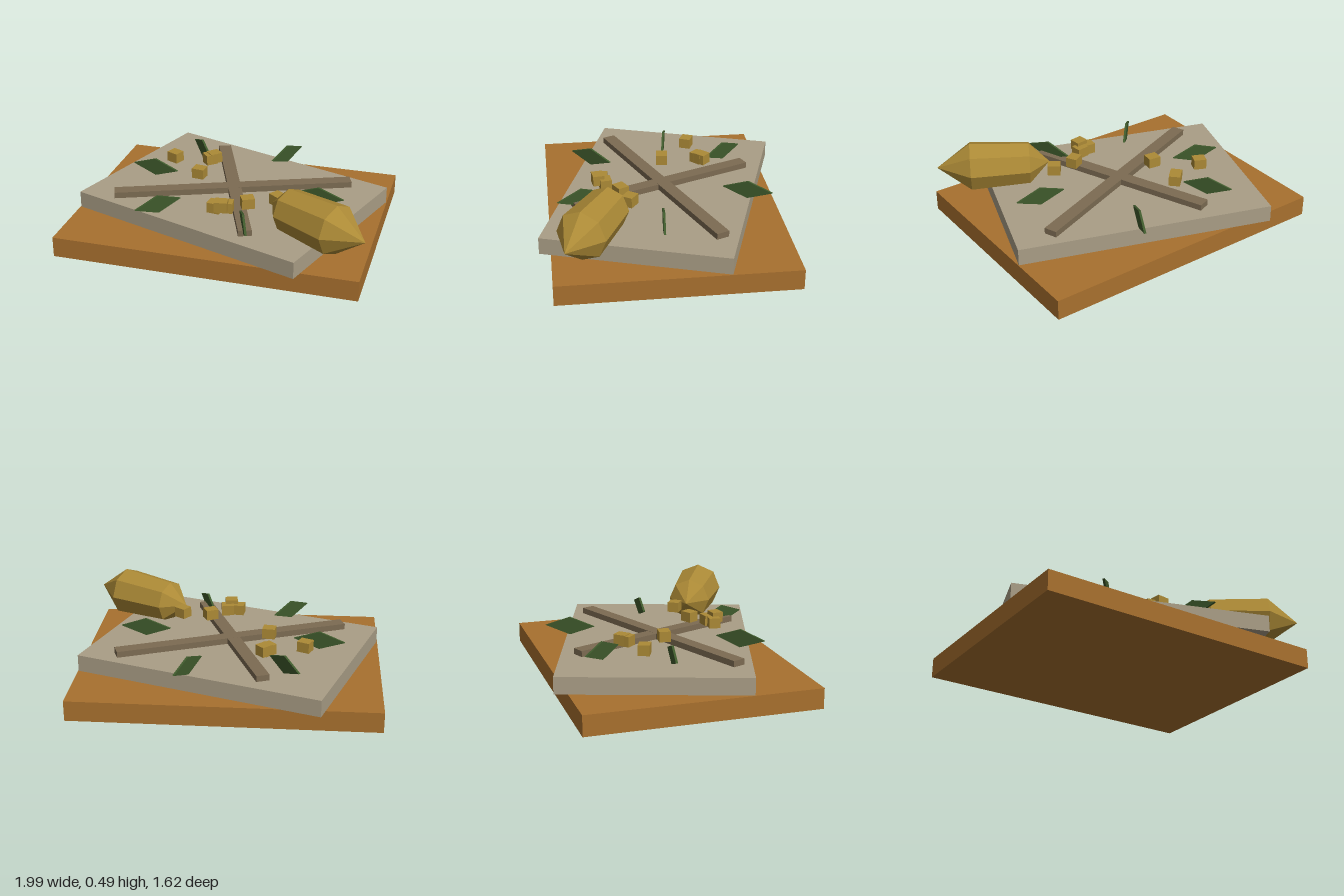
import * as THREE from 'three';

const paint = (name, color) => {
  const m = new THREE.MeshStandardMaterial({ color });
  m.name = name;
  return m;
};

export function createModel() {
  const model = new THREE.Group();
  model.name = 'harvestBoard';
  const wood = paint('ochre wood', 0xa8702e);
  const stone = paint('warm grey', 0xaa9e86);
  const twig = paint('brown grey', 0x7c6b52);
  const green = paint('leaf green', 0x3f5a2c);
  const gold = paint('gold', 0xac8a36);

  const add = (name, geometry, material, x, y, z, turn = 0) => {
    const mesh = new THREE.Mesh(geometry, material);
    mesh.name = name;
    mesh.position.set(x, y, z);
    mesh.rotation.y = turn;
    model.add(mesh);
    return mesh;
  };

  // Two stacked slabs, twisted against each other
  add('base', new THREE.BoxGeometry(1.833, 0.125, 1.41), wood, -0.005, 0.0625, 0, 0.12);
  add('slab', new THREE.BoxGeometry(1.55, 0.103, 1.124), stone, -0.005, 0.1765, -0.005, -0.2);

  // Crossed bars
  add('longBar', new THREE.BoxGeometry(1.477, 0.045, 0.08), twig, -0.007, 0.2425, 0, 0.5);
  add('shortBar', new THREE.BoxGeometry(1.2, 0.044, 0.08), twig, -0.005, 0.2425, -0.003, 0.5 - Math.PI / 2);

  // Upright diamond leaves, given by their inner and outer tips (x, z)
  const leaves = [
    [0.385, -0.013, 0.70, -0.023], [0.105, -0.38, 0.20, -0.675],
    [-0.295, -0.29, -0.50, -0.51], [-0.395, -0.007, -0.71, -0.02],
    [-0.22, 0.325, -0.395, 0.58], [0.18, 0.34, 0.325, 0.615],
  ];
  for (const [x0, z0, x1, z1] of leaves) {
    const half = Math.hypot(x1 - x0, z1 - z0) / 2;
    const diamond = new THREE.Shape([
      new THREE.Vector2(-half, 0), new THREE.Vector2(0, -0.056),
      new THREE.Vector2(half, 0), new THREE.Vector2(0, 0.056),
    ]);
    const geo = new THREE.ExtrudeGeometry(diamond, { depth: 0.013, bevelEnabled: false });
    geo.translate(0, 0, -0.0065);
    add('leaf', geo, green, (x0 + x1) / 2, 0.284, (z0 + z1) / 2, Math.atan2(z0 - z1, x1 - x0));
  }

  // Scattered kernels: x, y, z, turn
  const kernel = new THREE.BoxGeometry(0.078, 0.064, 0.07);
  const kernels = [
    [-0.485, 0.308, -0.165, -0.3], [-0.27, 0.3, -0.237, 0.85], [-0.252, 0.304, -0.26, 0.9],
    [-0.24, 0.308, -0.004, 0], [0.185, 0.298, 0.245, 0.6], [0.353, 0.322, 0.183, -0.5],
    [0.092, 0.298, 0.342, 0.25], [0.027, 0.296, 0.367, 0], [0.076, 0.32, 0.388, 0.25],
  ];
  for (const [x, y, z, turn] of kernels) add('kernel', kernel, gold, x, y, z, turn);

  // Faceted cob lying on its side, eight-sided and pointed at both ends
  const profile = [[0, -0.125], [0.132, 0], [0.153, 0.361], [0, 0.567]]
    .map(([r, h]) => new THREE.Vector2(r, h));
  const cobGeo = new THREE.LatheGeometry(profile, 8).toNonIndexed();
  cobGeo.computeVertexNormals();
  cobGeo.rotateZ(-Math.PI / 2);
  add('cob', cobGeo, gold, 0.465, 0.334, 0.305, -0.383);

  return model;
}
